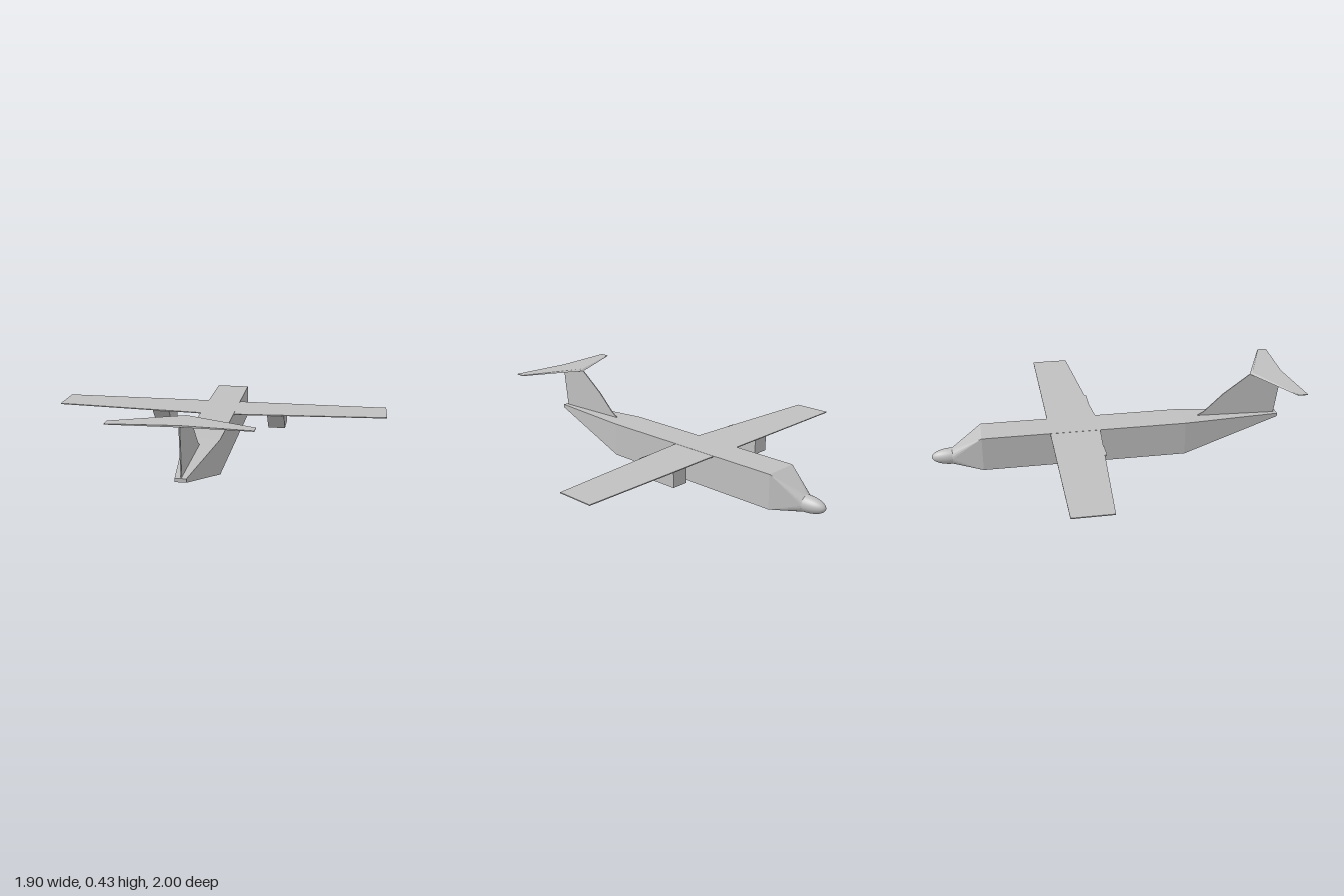
import * as THREE from 'three';

// Closed solid through matching cross-sections, each counter-clockwise seen from the first one's end
function loft(rings) {
  const pos = [];
  const tri = (a, b, c) => {
    if (new THREE.Triangle(a, b, c).getArea() < 1e-9) return;
    for (const p of [a, b, c]) pos.push(p.x, p.y, p.z);
  };
  const n = rings[0].length;
  for (let r = 0; r < rings.length - 1; r++) {
    const a = rings[r], b = rings[r + 1];
    for (let i = 0; i < n; i++) {
      const j = (i + 1) % n;
      tri(b[i], b[j], a[i]);
      tri(b[j], a[j], a[i]);
    }
  }
  const first = rings[0], last = rings[rings.length - 1];
  for (let i = 1; i < n - 1; i++) {
    tri(first[0], first[i], first[i + 1]);
    tri(last[0], last[i + 1], last[i]);
  }
  const g = new THREE.BufferGeometry();
  g.setAttribute('position', new THREE.Float32BufferAttribute(pos, 3));
  g.computeVertexNormals();
  return g;
}

const STEPS = 5;

// Rectangle whose corners are repeated so that it can blend into a circle
function rectRing(z, w, y0, y1) {
  const corners = [[w, y1], [-w, y1], [-w, y0], [w, y0]];
  return corners.flatMap(([x, y]) =>
    Array.from({ length: STEPS + 1 }, () => new THREE.Vector3(x, y, z)));
}

function circleRing(z, r, cy) {
  const ring = [];
  for (let q = 0; q < 4; q++) {
    for (let k = 0; k <= STEPS; k++) {
      const t = (q + k / STEPS) * Math.PI / 2;
      ring.push(new THREE.Vector3(r * Math.cos(t), cy + r * Math.sin(t), z));
    }
  }
  return ring;
}

function extrude(points, depth) {
  const shape = new THREE.Shape(points.map(([x, y]) => new THREE.Vector2(x, y)));
  return new THREE.ExtrudeGeometry(shape, { depth, bevelEnabled: false });
}

// Side profile given as [z, y], extruded across x around centre cx
function sidePlate(points, width, cx = 0) {
  return extrude(points, width).rotateY(-Math.PI / 2).translate(cx + width / 2, 0, 0);
}

export function createModel() {
  const model = new THREE.Group();
  const grey = new THREE.MeshStandardMaterial({ color: 0xc0c0c0 });
  grey.name = 'airframe grey';
  const add = (name, geometry) => {
    const mesh = new THREE.Mesh(geometry, grey);
    mesh.name = name;
    model.add(mesh);
  };

  // Boxy fuselage: raised tail, straight hold, cockpit narrowing to a round end
  add('fuselage', loft([
    rectRing(0.957, 0.027, 0.157, 0.175),
    rectRing(0.40, 0.094, 0, 0.19),
    rectRing(-0.725, 0.094, 0, 0.19),
    circleRing(-0.887, 0.045, 0.055),
  ]));

  // Rounded nose
  const nose = new THREE.SphereGeometry(1, 24, 12, 0, Math.PI * 2, 0, Math.PI / 2);
  nose.rotateX(-Math.PI / 2).scale(0.045, 0.045, 0.113).translate(0, 0.055, -0.887);
  add('nose', nose);

  // High straight wing, planform as [x, -z]
  const wing = extrude([
    [-0.948, 0.145], [-0.094, 0.08], [0.094, 0.08], [0.948, 0.145],
    [0.948, 0.355], [-0.948, 0.355],
  ], 0.005);
  add('wing', wing.rotateX(-Math.PI / 2).translate(0, 0.184, 0));

  // Engine boxes under the wing
  for (const [side, name] of [[1, 'leftEngine'], [-1, 'rightEngine']]) {
    add(name, sidePlate(
      [[-0.335, 0.09], [-0.18, 0.09], [-0.09, 0.186], [-0.335, 0.186]], 0.095, side * 0.33));
  }

  // Tail fin with a small fillet at its foot
  add('tailFin', sidePlate([
    [0.49, 0.185], [0.94, 0.172], [0.973, 0.422], [0.79, 0.422],
    [0.637, 0.31], [0.53, 0.21], [0.50, 0.193],
  ], 0.006));

  // Swept tailplane with a sloping leading edge
  const section = (x, y, lead, bevel, trail) => [
    [y, trail], [y, lead], [0.428, lead + bevel], [0.428, trail],
  ].map(([py, pz]) => new THREE.Vector3(x, py, pz));
  add('tailplane', loft([
    section(0.337, 0.424, 0.942, 0.003, 0.995),
    section(0, 0.419, 0.785, 0.015, 0.968),
    section(-0.337, 0.424, 0.942, 0.003, 0.995),
  ]));

  return model;
}
